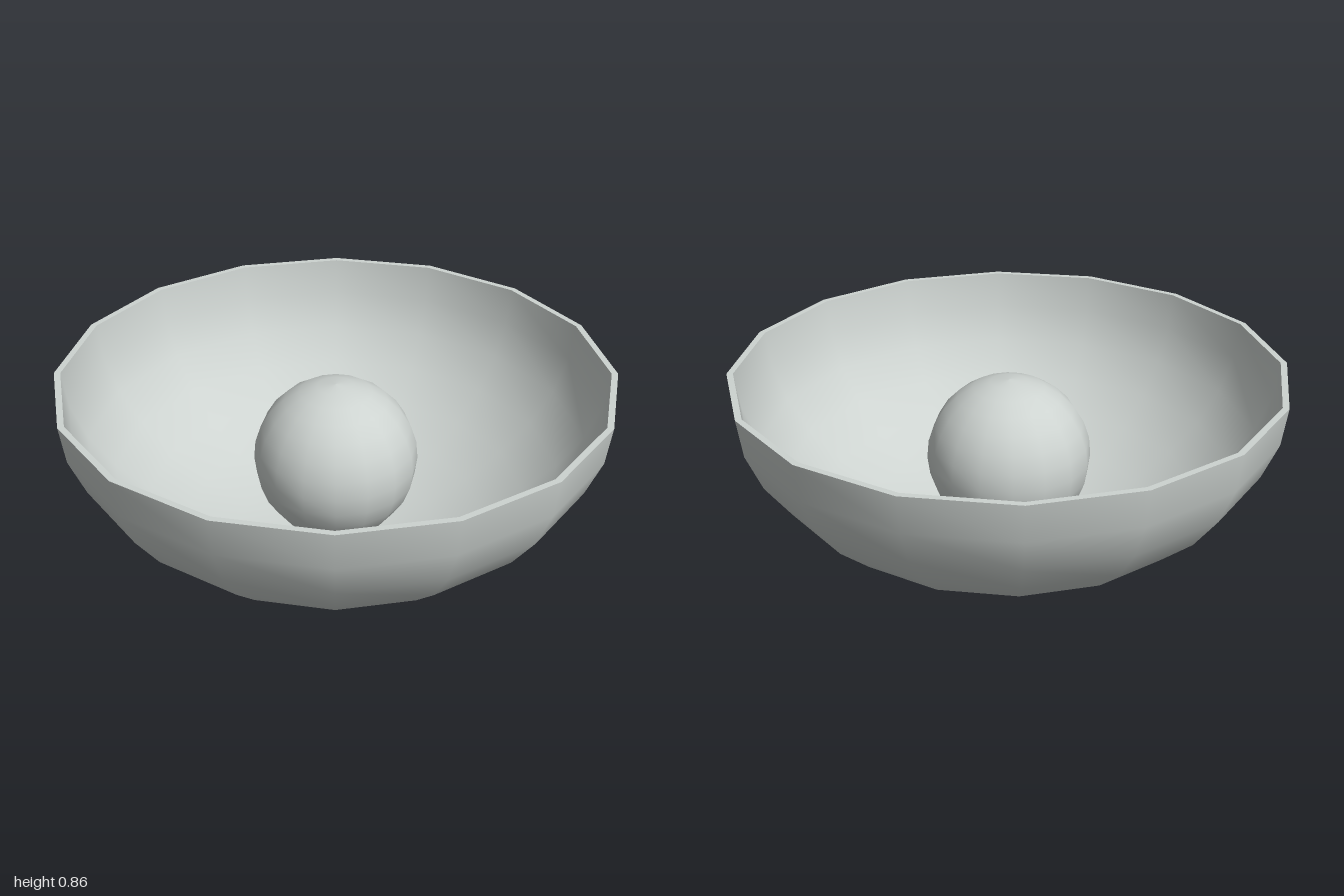
import * as THREE from 'three';

const SIDES = 16;

export function createModel() {
  const lamp = new THREE.Group();
  lamp.name = 'bowlLamp';
  const paleGrey = new THREE.MeshStandardMaterial({ color: 0xcdd3d0 });
  paleGrey.name = 'paleGrey';

  // Turns a profile of [radius, height] points about the vertical axis
  const turn = (name, points, parent = lamp) => {
    const profile = points.map(([r, y]) => new THREE.Vector2(r, y));
    const mesh = new THREE.Mesh(new THREE.LatheGeometry(profile, SIDES), paleGrey);
    mesh.name = name;
    parent.add(mesh);
  };

  // Shade: half ellipsoid, with a thin wall and a flat rim
  const rimY = 0.857;
  const bowl = (radius, depth) => Array.from({ length: 9 }, (_, i) => {
    const a = (i / 8) * Math.PI / 2;
    return [radius * Math.sin(a), rimY - depth * Math.cos(a)];
  });
  const shade = new THREE.Group();
  shade.name = 'shade';
  lamp.add(shade);
  const outer = bowl(1, 0.717);
  outer[1][1] = 0.143;
  turn('shadeOutside', outer, shade);
  turn('shadeInside', bowl(0.977, 0.695).reverse(), shade);
  turn('shadeRim', [[1, rimY], [0.977, rimY]], shade);

  // Bulb: round globe narrowing into a neck
  const globe = [];
  for (let i = 0; i <= 10; i++) {
    const a = -0.7 + (i / 10) * (Math.PI / 2 + 0.7);
    globe.push([0.3 * Math.cos(a), 0.514 + 0.3 * Math.sin(a)]);
  }
  globe[10][0] = 0;
  turn('bulb', [[0.126, 0.14], [0.145, 0.22], ...globe]);

  // Socket end below the shade, with a stepped contact
  const socket = new THREE.Group();
  socket.name = 'socket';
  lamp.add(socket);
  turn('socketBody', [[0.107, 0.056], [0.126, 0.16]], socket);
  turn('socketTaper', [[0.065, 0.026], [0.107, 0.056]], socket);
  turn('contact', [[0.047, 0], [0.065, 0.026]], socket);
  turn('contactTip', [[0, 0], [0.047, 0]], socket);

  return lamp;
}
